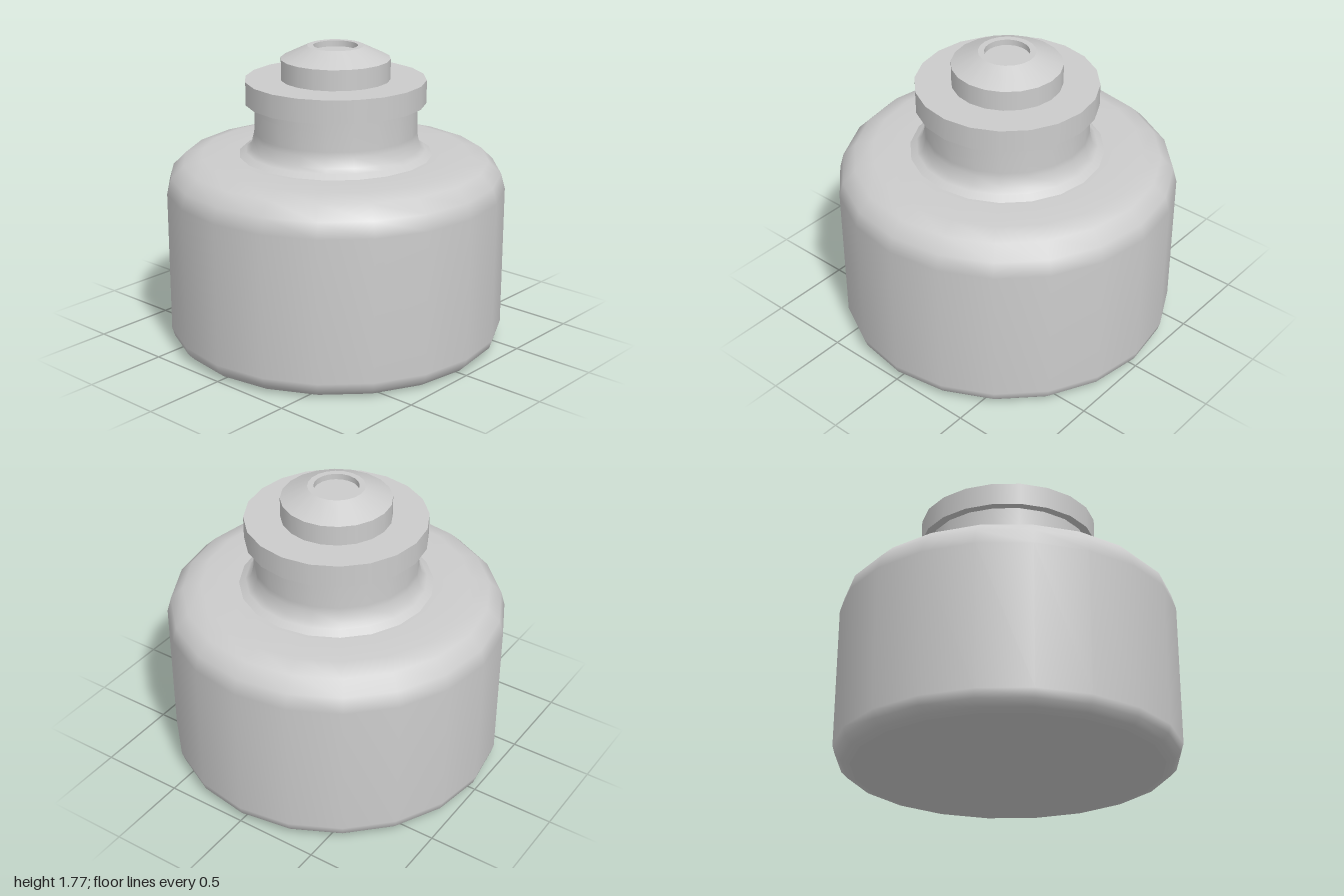
import * as THREE from 'three';
import { mergeGeometries } from 'three/addons/utils/BufferGeometryUtils.js';

const SIDES = 20;
const material = new THREE.MeshStandardMaterial({ color: 0xcccccc });

// Each run of [radius, height] points is smooth; edges between runs stay sharp.
function turned(name, runs) {
  const parts = runs.map((run) =>
    new THREE.LatheGeometry(run.map(([r, y]) => new THREE.Vector2(r, y)), SIDES));
  const mesh = new THREE.Mesh(mergeGeometries(parts), material);
  mesh.name = name;
  return mesh;
}

export function createModel() {
  const group = new THREE.Group();
  group.name = 'bottle';

  // Wide body with a rounded foot and shoulder
  group.add(turned('body', [
    [[0, 0], [0.9, 0]],
    [[0.9, 0], [0.95, 0.015], [0.985, 0.05], [1, 0.1], [1, 0.94],
      [0.975, 1.03], [0.9, 1.105], [0.79, 1.135], [0.57, 1.135]],
  ]));

  // Neck flaring out onto the shoulder
  group.add(turned('neck', [
    [[0.57, 1.135], [0.53, 1.16]],
    [[0.53, 1.16], [0.5, 1.18], [0.485, 1.24], [0.48, 1.27], [0.48, 1.445]],
  ]));

  // Overhanging collar
  group.add(turned('collar', [
    [[0.48, 1.445], [0.53, 1.445]],
    [[0.53, 1.445], [0.53, 1.58]],
    [[0.53, 1.58], [0.32, 1.58]],
  ]));

  // Stopper with a sloped top and a shallow round recess
  group.add(turned('stopper', [
    [[0.32, 1.58], [0.32, 1.7]],
    [[0.32, 1.7], [0.165, 1.775]],
    [[0.165, 1.775], [0.13, 1.775]],
    [[0.13, 1.775], [0.13, 1.74]],
    [[0.13, 1.74], [0, 1.74]],
  ]));

  return group;
}
